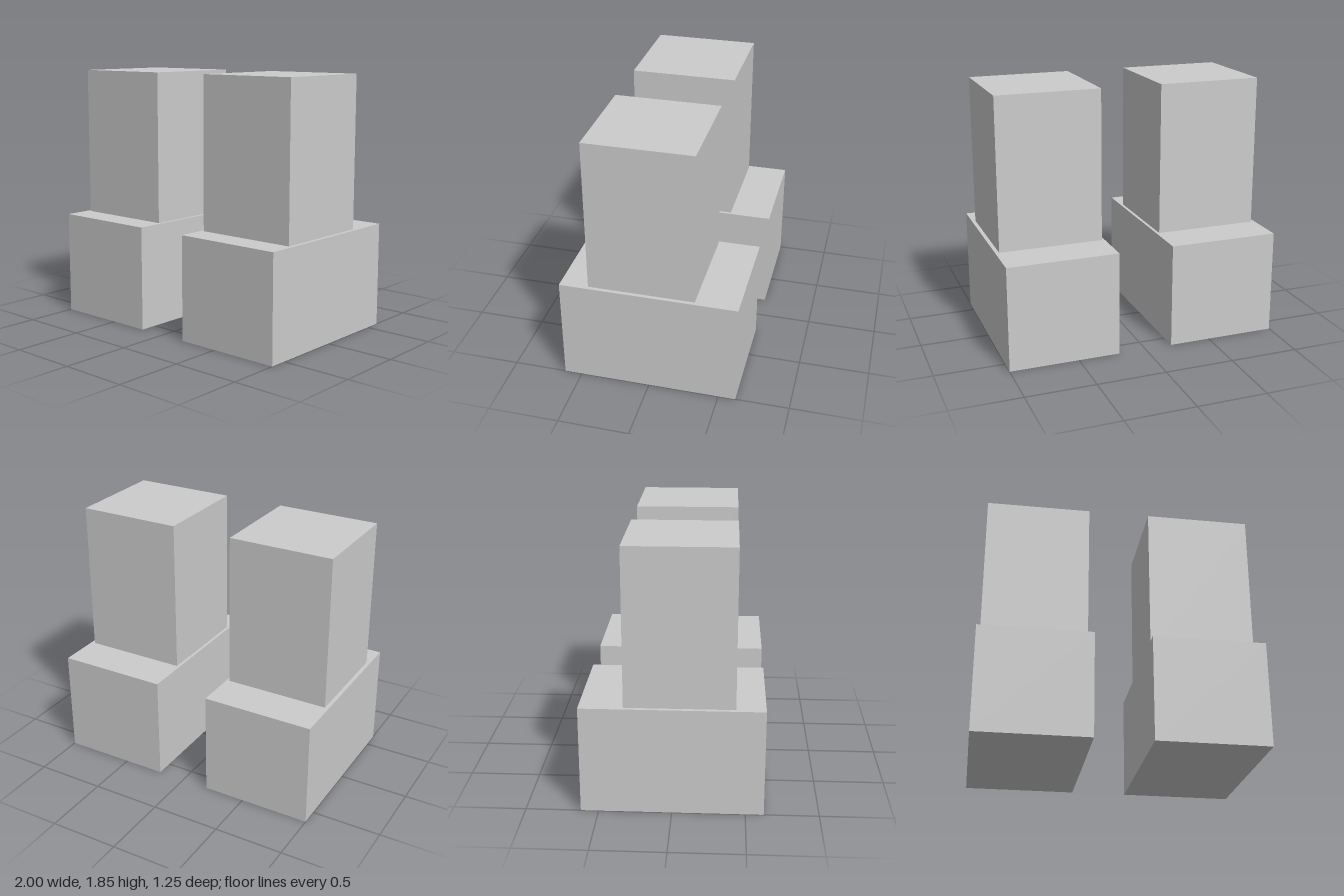
import * as THREE from 'three';

const material = new THREE.MeshStandardMaterial({ color: 0xcccccc });

// Box spanning two opposite corners
function block(name, min, max) {
  const size = max.map((v, i) => v - min[i]);
  const mesh = new THREE.Mesh(new THREE.BoxGeometry(...size), material);
  mesh.name = name;
  mesh.position.set(...max.map((v, i) => (v + min[i]) / 2));
  return mesh;
}

// One boot: a long foot block with a taller, narrower shaft on top
function boot(name, side) {
  const group = new THREE.Group();
  group.name = name;
  const span = (a, b) => (side > 0 ? [a, b] : [-b, -a]);
  const [f0, f1] = span(0.2, 1.0);
  const [s0, s1] = span(0.222, 0.972);
  group.add(
    block('foot', [f0, 0, -0.622], [f1, 0.757, 0.625]),
    block('shaft', [s0, 0.757, -0.322], [s1, 1.852, 0.425])
  );
  return group;
}

export function createModel() {
  const model = new THREE.Group();
  model.name = 'boots';
  model.add(boot('leftBoot', 1), boot('rightBoot', -1));
  return model;
}
